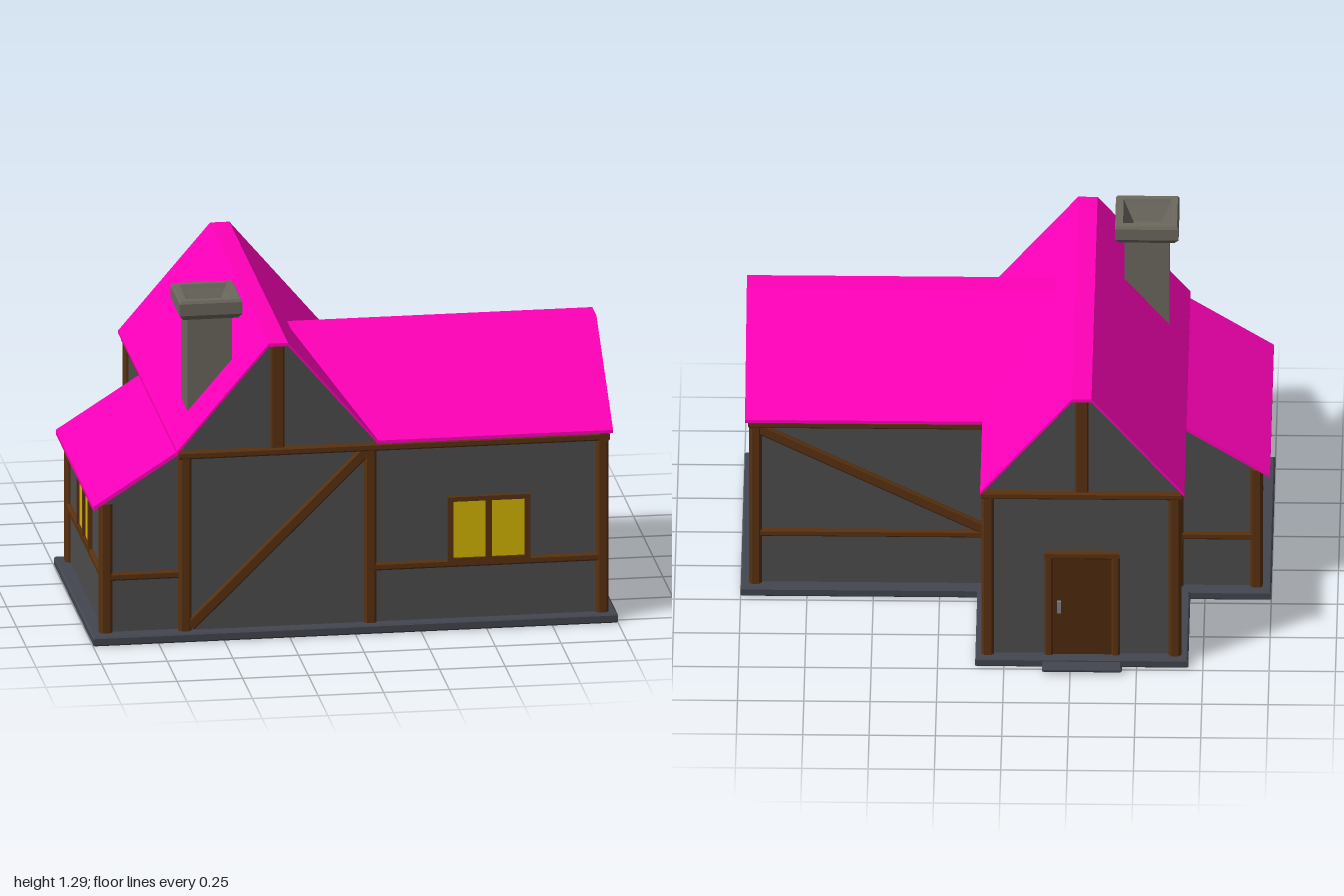
import * as THREE from 'three';

const mat = (color, extra = {}) => new THREE.MeshStandardMaterial({ color, ...extra });

export function createModel() {
  const house = new THREE.Group();
  const wallMat = mat(0x4d4d4d), timber = mat(0x59310f), roofMat = mat(0xff00b8);
  const slabMat = mat(0x43464f), glass = mat(0xd6b800), doorMat = mat(0x4e2a0e);
  const metal = mat(0x7c8088);
  const stone = mat(0x6c695e, { flatShading: true, side: THREE.DoubleSide });

  const add = (name, geo, material, parent = house) => {
    const m = new THREE.Mesh(geo, material);
    m.name = name;
    parent.add(m);
  };
  const group = (name) => {
    const g = new THREE.Group();
    g.name = name;
    house.add(g);
    return g;
  };
  const shape = (pts) => new THREE.Shape(pts.map(([x, y]) => new THREE.Vector2(x, y)));
  const rect = (x0, y0, x1, y1) => shape([[x0, y0], [x1, y0], [x1, y1], [x0, y1]]);
  const extrude = (s, from, to) =>
    new THREE.ExtrudeGeometry(s, { depth: to - from, bevelEnabled: false }).translate(0, 0, from);
  const box = (name, w, h, d, x, y, z, material, parent) =>
    add(name, new THREE.BoxGeometry(w, h, d).translate(x, y, z), material, parent);

  // Slab with bevelled rim, drawn as a plan in x and -z
  const slab = (name, plan, y0, y1) => {
    const b = 0.006;
    const geo = new THREE.ExtrudeGeometry(shape(plan.map(([x, z]) => [x, -z])), {
      depth: y1 - y0 - 2 * b, bevelSize: b, bevelOffset: -b, bevelThickness: b, bevelSegments: 1,
    });
    geo.rotateX(-Math.PI / 2).translate(0, y0 + b, 0);
    add(name, geo, slabMat);
  };
  slab('foundation', [[-1, 0.786], [1, 0.786], [1, -0.226], [0.108, -0.226], [0.108, -0.735],
    [-0.695, -0.735], [-0.695, -0.226], [-1, -0.226]], 0, 0.036);
  slab('doorStep', [[-0.445, -0.68], [-0.145, -0.68], [-0.145, -0.787], [-0.445, -0.787]], 0.007, 0.025);

  // Wall planes
  const FZ = 0.742, WZ = -0.174, BZ = -0.688, WX = 0.95, MX = 0.066, RX = -0.65, SX = -0.948;
  const SFZ = 0.722;

  // Walls with gables, tucked into the underside of the roofs
  add('mainWalls', extrude(shape([[RX, 0.004], [MX, 0.004], [MX, 0.779], [-0.259, 1.158],
    [-0.328, 1.158], [RX, 0.784]]), BZ, FZ), wallMat);
  add('wingWalls', extrude(shape([[-FZ, 0.004], [-WZ, 0.004], [-WZ, 0.77], [-0.234, 1.066],
    [-0.333, 1.066], [-FZ, 0.765]]), MX - 0.01, WX).rotateY(Math.PI / 2), wallMat);
  add('sideRoomWalls', extrude(shape([[SX, 0.004], [RX + 0.01, 0.004], [RX + 0.01, 0.754],
    [SX, 0.562]]), WZ, SFZ), wallMat);

  // Thin roofs: a line and its copy shifted down
  const band = (line, t) => shape([...line, ...line.map(([x, y]) => [x, y - t]).reverse()]);
  add('mainRoof', extrude(band([[-0.68, 0.757], [-0.33, 1.167], [-0.257, 1.167], [0.09, 0.757]], 0.013),
    -0.725, 0.78), roofMat);
  add('sideRoomRoof', extrude(band([[-0.995, 0.543], [-0.67, 0.75]], 0.017), -0.208, 0.752), roofMat);

  // Wing roof, its inner end cut along the main roof slope
  const wingRoof = extrude(band([[-0.763, 0.758], [-0.335, 1.075], [-0.232, 1.075], [0.202, 0.758]], 0.013),
    0, 0.984).rotateY(Math.PI / 2);
  const p = wingRoof.attributes.position;
  for (let i = 0; i < p.count; i++) {
    if (p.getX(i) < 0.5) p.setX(i, 0.087 - (p.getY(i) - 0.757) * (0.347 / 0.41));
  }
  wingRoof.computeVertexNormals();
  add('wingRoof', wingRoof, roofMat);

  // Chamfered timber from a to b, n is the wall normal
  const beams = group('timberFrame');
  const beam = (name, a, b, n, w = 0.03, d = 0.03, parent = beams) => {
    const A = new THREE.Vector3(...a), dir = new THREE.Vector3(...b).sub(A);
    const len = dir.length(), c = Math.min(w, d) * 0.22, x = w / 2, y = d / 2;
    dir.normalize();
    const N = new THREE.Vector3(...n);
    const geo = extrude(shape([[-x + c, -y], [x - c, -y], [x, -y + c], [x, y - c],
      [x - c, y], [-x + c, y], [-x, y - c], [-x, -y + c]]), 0, len);
    geo.applyMatrix4(new THREE.Matrix4().makeBasis(N.clone().cross(dir), N, dir).setPosition(A));
    add(name, geo, timber, parent);
  };
  const F = [0, 0, 1], B = [0, 0, -1], L = [1, 0, 0], R = [-1, 0, 0];

  // Corner posts: x, z, top
  for (const [x, z, top] of [[-0.644, 0.736, 0.73], [0.061, 0.736, 0.73], [0.945, 0.736, 0.73],
    [0.945, -0.169, 0.73], [0.061, -0.169, 0.73], [0.061, -0.683, 0.73], [-0.644, -0.683, 0.73],
    [-0.644, -0.169, 0.73], [-0.943, 0.716, 0.546], [-0.943, -0.167, 0.546]]) {
    beam('cornerPost', [x, 0.004, z], [x, top, z], F, 0.048, 0.048);
  }

  // Top plates
  const T = 0.731, W = 0.03, P = 0.044;
  beam('topPlate', [-0.668, T, FZ], [0.968, T, FZ], F, W, P);
  beam('topPlate', [WX, T, 0.765], [WX, T, -0.195], L, W, P);
  beam('topPlate', [0.968, T, WZ], [MX, T, WZ], B, W, P);
  beam('topPlate', [MX, T, WZ], [MX, T, -0.705], L, W, P);
  beam('topPlate', [0.085, T, BZ], [-0.668, T, BZ], B, W, P);
  beam('topPlate', [RX, T, -0.705], [RX, T, WZ], R, W, P);

  // Middle rails
  const M = 0.255;
  beam('rail', [MX, M, FZ], [WX, M, FZ], F);
  beam('rail', [WX, M, FZ], [WX, M, WZ], L);
  beam('rail', [WX, M, WZ], [MX, M, WZ], B);
  beam('rail', [MX, M, WZ], [MX, M, BZ], L);
  beam('rail', [RX, M, BZ], [RX, M, WZ], R);
  beam('rail', [RX, M, WZ], [SX, M, WZ], B);
  beam('rail', [SX, M, WZ], [SX, M, SFZ], R);
  beam('rail', [SX, M, SFZ], [RX, M, SFZ], F);

  // Diagonal braces
  beam('brace', [-0.625, 0.055, FZ], [0.045, 0.715, FZ], F, 0.044);
  beam('brace', [WX, 0.055, 0.72], [WX, 0.715, -0.155], L, 0.044);
  beam('brace', [0.935, 0.71, WZ], [0.08, 0.275, WZ], B, 0.044);

  // Gable posts
  beam('gablePost', [-0.293, 0.74, FZ], [-0.293, 1.158, FZ], F, 0.052);
  beam('gablePost', [-0.293, 0.74, BZ], [-0.293, 1.158, BZ], B, 0.052);
  beam('gablePost', [WX, 0.74, 0.281], [WX, 1.066, 0.281], L, 0.052);

  // Two-pane windows, built facing +z around their centre
  const makeWindow = (x, z, turn) => {
    const g = group('window');
    const frame = rect(-0.157, -0.13, 0.157, 0.13);
    for (const s of [-1, 1]) {
      const x0 = Math.min(s * 0.012, s * 0.136);
      frame.holes.push(rect(x0, -0.112, x0 + 0.124, 0.112));
      box('pane', 0.124, 0.224, 0.01, s * 0.074, 0, 0.001, glass, g);
    }
    add('windowFrame', extrude(frame, -0.01, 0.016), timber, g);
    g.position.set(x, 0.388, z);
    g.rotation.y = turn;
  };
  makeWindow(0.512, FZ, 0);
  makeWindow(SX, 0.265, -Math.PI / 2);

  // Back door with frame and handle
  const door = group('door');
  const DX = -0.295;
  box('doorLeaf', 0.235, 0.43, 0.016, DX, 0.245, BZ, doorMat, door);
  for (const s of [-1, 1]) {
    beam('doorJamb', [DX + s * 0.126, 0.03, BZ], [DX + s * 0.126, 0.47, BZ], B, 0.032, 0.034, door);
  }
  beam('doorLintel', [DX - 0.142, 0.468, BZ], [DX + 0.142, 0.468, BZ], B, 0.032, 0.034, door);
  box('doorHandle', 0.014, 0.05, 0.014, DX + 0.088, 0.245, BZ - 0.012, metal, door);

  // Square hollow chimney with a flared cap
  const profile = [[0.085, 0.8], [0.085, 1.21], [0.104, 1.21], [0.12, 1.23], [0.12, 1.276],
    [0.114, 1.287], [0.09, 1.287], [0.083, 1.27], [0.052, 1.21], [0, 1.21]]
    .map(([h, y]) => new THREE.Vector2(h * Math.SQRT2, y));
  add('chimney', new THREE.LatheGeometry(profile, 4, Math.PI / 4).translate(-0.522, 0, 0.473), stone);

  return house;
}
